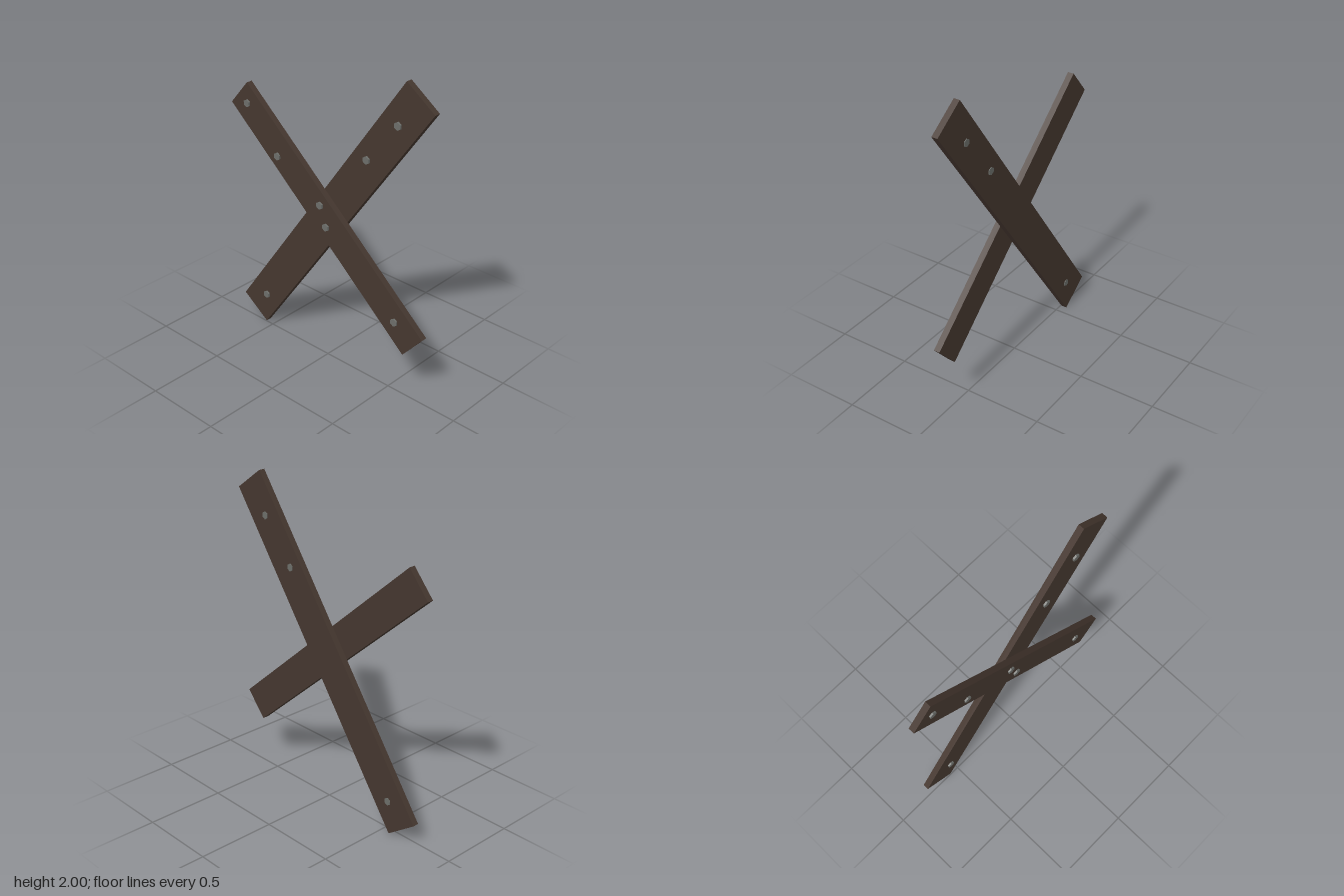
import * as THREE from 'three';

export function createModel() {
  const model = new THREE.Group();
  const wood = new THREE.MeshStandardMaterial({ color: 0x45372f });
  wood.name = 'darkWood';
  const iron = new THREE.MeshStandardMaterial({ color: 0x6c6e6a, flatShading: true });
  iron.name = 'greyIron';

  // A straight board tilted in the xy plane, spanning zBack to zFront
  function plank(name, length, width, angle, zBack, zFront) {
    const mesh = new THREE.Mesh(new THREE.BoxGeometry(length, width, zFront - zBack), wood);
    mesh.name = name;
    mesh.position.set(0, 1, (zBack + zFront) / 2);
    mesh.rotation.z = THREE.MathUtils.degToRad(angle);
    model.add(mesh);
  }
  plank('longBackPlank', 2.278, 0.242, 54.6, -0.043, -0.004);
  plank('shortFrontPlank', 1.854, 0.213, -40.95, -0.004, 0.036);

  // Hexagonal bolts running along z
  function bolts(name, points, zBack, zFront) {
    const geometry = new THREE.CylinderGeometry(0.025, 0.025, zFront - zBack, 6);
    geometry.rotateX(Math.PI / 2);
    const group = new THREE.Group();
    group.name = name;
    points.forEach(([x, y], i) => {
      const bolt = new THREE.Mesh(geometry, iron);
      bolt.name = `bolt${i + 1}`;
      bolt.position.set(x, y, (zBack + zFront) / 2);
      group.add(bolt);
    });
    model.add(group);
  }
  bolts('frontPlankBolts',
    [[-0.63, 1.555], [-0.38, 1.28], [-0.03, 1.07], [0.018, 0.94], [0.562, 0.51]], 0.0, 0.047);
  // These pass right through the long plank and show on both sides
  bolts('backPlankBolts', [[0.515, 1.73], [0.295, 1.457], [-0.547, 0.215]], -0.047, 0.008);

  return model;
}
